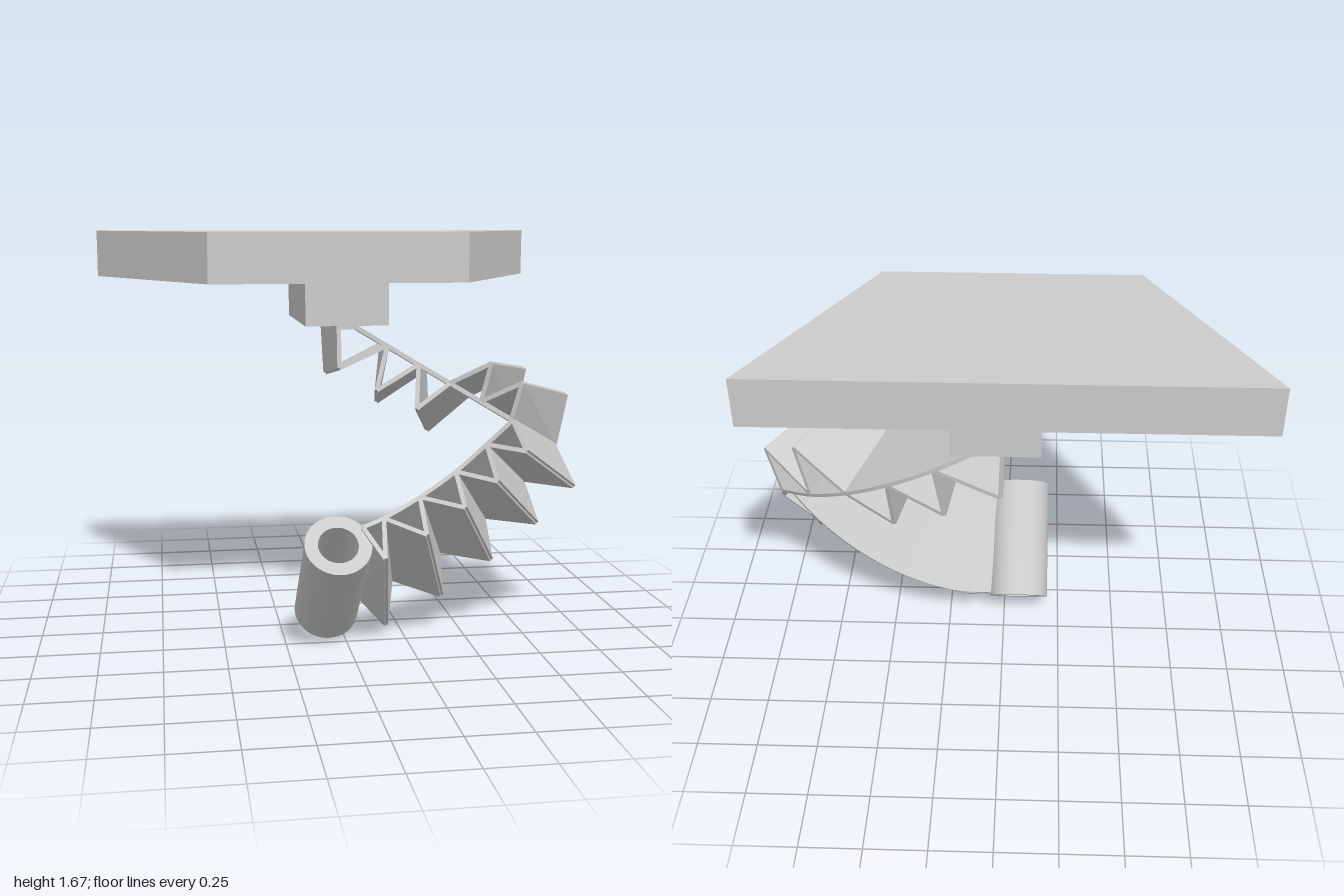
import * as THREE from 'three';
import { mergeGeometries, toCreasedNormals } from 'three/addons/utils/BufferGeometryUtils.js';

const V = (x, y, z) => new THREE.Vector3(x, y, z);
const THICK = 0.018;

// Thin plate spanning two cross lines, each given as [front, back]
function slab([a, a2], [b, b2]) {
  const g = new THREE.BoxGeometry(1, 1, 1);
  const p = g.attributes.position;
  const mid = (q, r) => q.clone().add(r).multiplyScalar(0.5);
  const n = a2.clone().sub(a).add(b2).sub(b)
    .cross(mid(b, b2).sub(mid(a, a2))).normalize().multiplyScalar(THICK);
  for (let i = 0; i < p.count; i++) {
    const u = p.getX(i) + 0.5, v = p.getZ(i) + 0.5;
    const q = a.clone().lerp(b, u).lerp(a2.clone().lerp(b2, u), v).addScaledVector(n, p.getY(i));
    p.setXYZ(i, q.x, q.y, q.z);
  }
  const flat = g.toNonIndexed();
  flat.computeVertexNormals();
  return flat;
}

// Row of plates through successive cross lines
const ribbon = (lines) => mergeGeometries(lines.slice(1).map((l, i) => slab(lines[i], l)));

// Smooth band through the cross lines
function band(lines, steps = 24) {
  const [f, b] = [0, 1].map((k) => new THREE.CatmullRomCurve3(lines.map((l) => l[k])));
  return toCreasedNormals(ribbon(Array.from({ length: steps + 1 }, (_, i) =>
    [f.getPoint(i / steps), b.getPoint(i / steps)])), 0.5);
}

// Fold lines alternating between the band and the fin tips
const zigzag = (roots, tips) => roots.flatMap((r, i) => (i < tips.length ? [r, tips[i]] : [r]));

export function createModel() {
  const group = new THREE.Group();
  const mat = new THREE.MeshStandardMaterial({ color: 0xcccccc, side: THREE.DoubleSide });
  const add = (name, geo, x = 0, y = 0, z = 0) => {
    const m = new THREE.Mesh(geo, mat);
    m.name = name;
    m.position.set(x, y, z);
    group.add(m);
    return m;
  };

  // Trapezoid top plate
  const plate = new THREE.Shape([[-1, 0.56], [-0.545, -0.26], [0.49, -0.26], [0.945, 0.56]]
    .map(([x, y]) => new THREE.Vector2(x, y)));
  add('topPlate', new THREE.ExtrudeGeometry(plate, { depth: 0.2, bevelEnabled: false })
    .rotateX(-Math.PI / 2), 0, 1.475, 0);

  // Mounting block and the small pad under it
  add('mountBlock', new THREE.BoxGeometry(0.34, 0.175, 0.635), 0.015, 1.3875, -0.1525);
  add('mountPad', new THREE.BoxGeometry(0.08, 0.02, 0.52), 0.02, 1.29, -0.16);

  // Tilted hollow tube at the lower end
  const ring = new THREE.Shape().absarc(0, 0, 0.133, 0, Math.PI * 2);
  ring.holes.push(new THREE.Path().absarc(0, 0, 0.08, 0, Math.PI * 2, true));
  const tube = new THREE.ExtrudeGeometry(ring, { depth: 0.525, bevelEnabled: false, curveSegments: 32 });
  tube.translate(0, 0, -0.2625).rotateX(-0.8);
  add('endTube', toCreasedNormals(tube, 0.6), -0.065, 0.285, 0.285);

  // Lower band: its width direction swings outward as it climbs
  const lowerRoots = [
    [0.04, 0.53, 0.42], [0.13, 0.555, 0.385], [0.28, 0.63, 0.36],
    [0.425, 0.73, 0.36], [0.545, 0.84, 0.375], [0.64, 0.94, 0.41],
  ].map(([x, y, z], i) => {
    const t = i / 5, a = THREE.MathUtils.degToRad(4 + 56 * t), r = 0.38 - 0.04 * t;
    return [V(x, y, z), V(x + r * Math.sin(a), y - r * Math.cos(a), z - 0.36 - 0.02 * t)];
  });
  const lowerTips = [
    [V(0.11, 0.43, 0.53), V(0.18, 0.04, 0.17)],
    [V(0.28, 0.51, 0.495), V(0.42, 0.155, 0.16)],
    [V(0.435, 0.61, 0.48), V(0.635, 0.3, 0.15)],
    [V(0.565, 0.71, 0.475), V(0.83, 0.455, 0.155)],
    [V(0.675, 0.83, 0.49), V(0.985, 0.61, 0.165)],
  ];
  add('lowerBand', band(lowerRoots));
  add('lowerFins', ribbon(zigzag(lowerRoots, lowerTips)));

  // Upper band: a flat arc in a sloping plane
  const onArc = (r, a) => {
    const s = r * Math.sin(a);
    return V(0.06 + 0.857 * s, 1.29 - 0.516 * s, 1.08 - r * Math.cos(a));
  };
  const upperRoots = Array.from({ length: 6 }, (_, i) => {
    const a = THREE.MathUtils.degToRad(44 * (1 - i / 5));
    return [onArc(0.98, a), onArc(1.49, a)];
  });
  add('upperBand', band(upperRoots));

  // Upper fins: two above the band, three below it
  upperRoots[5] = [V(-0.01, 1.285, 0.1), V(-0.01, 1.285, -0.42)];
  const upperTips = [
    [V(0.68, 1.085, 0.39), V(0.995, 0.98, 0)],
    [V(0.58, 1.155, 0.295), V(0.845, 1.08, -0.13)],
    [V(0.295, 0.965, 0.21), V(0.44, 0.795, -0.25)],
    [V(0.14, 1.035, 0.15), V(0.225, 0.915, -0.34)],
    [V(-0.01, 1.125, 0.12), V(0, 1.045, -0.39)],
  ];
  add('upperFins', ribbon(zigzag(upperRoots, upperTips)));

  return group;
}
